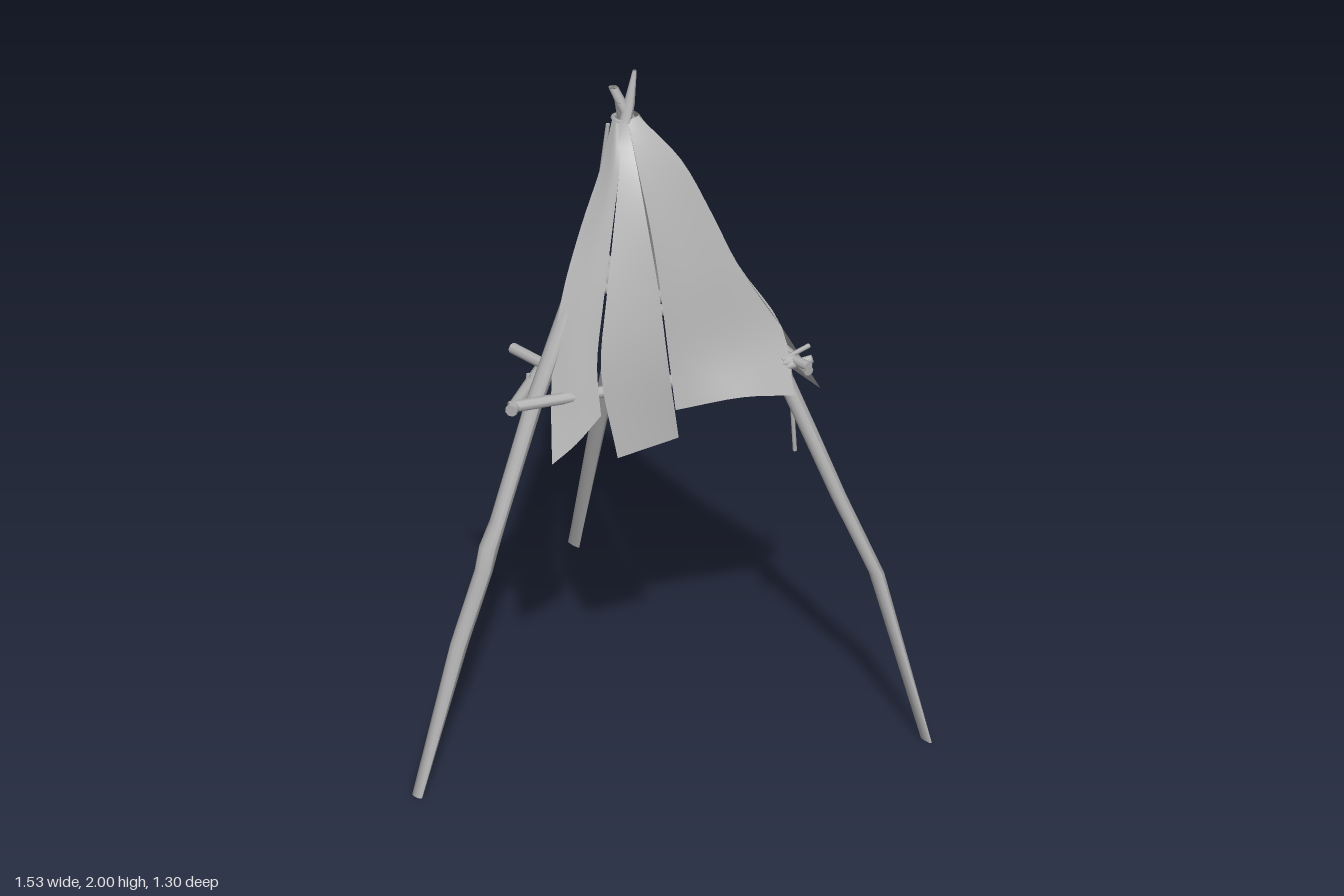
import * as THREE from 'three';

const grey = new THREE.MeshStandardMaterial({ color: 0xb0b0b0, side: THREE.DoubleSide });
grey.name = 'weathered grey';

const vec = (p) => new THREE.Vector3(...p);

// Grid surface through rows of points, with optional end caps
function surface(rows, caps) {
  const n = rows[0].length, pos = rows.flat(2), idx = [];
  for (let i = 0; i < rows.length - 1; i++) {
    for (let j = 0; j < n - 1; j++) {
      const a = i * n + j, b = a + 1, c = a + n, d = c + 1;
      idx.push(a, c, b, b, c, d);
    }
  }
  if (caps) {
    const last = (rows.length - 1) * n;
    for (let j = 1; j < n - 2; j++) idx.push(0, j, j + 1, last, last + j + 1, last + j);
  }
  const g = new THREE.BufferGeometry();
  g.setAttribute('position', new THREE.Float32BufferAttribute(pos, 3));
  g.setIndex(idx);
  g.computeVertexNormals();
  return g;
}

// Crooked pole made of level rings: stations are [x, y, z, x radius, z radius]
function poleGeometry(stations) {
  const rows = stations.map(([x, y, z, rx, rz = rx]) => Array.from({ length: 11 }, (_, j) => {
    const a = -(j % 10) / 10 * Math.PI * 2;
    return [x + Math.cos(a) * rx, y, z + Math.sin(a) * rz];
  }));
  return surface(rows, true);
}

// Straight stick between two points
function stick(a, b, r0, r1 = r0) {
  const A = vec(a), B = vec(b), dir = B.clone().sub(A);
  const m = new THREE.Mesh(new THREE.CylinderGeometry(r1, r0, dir.length(), 8), grey);
  m.position.copy(A).add(B).multiplyScalar(0.5);
  m.quaternion.setFromUnitVectors(new THREE.Vector3(0, 1, 0), dir.normalize());
  return m;
}

// Cloth strip draped across two or more hanging guide curves
function clothGeometry(guides) {
  const curves = guides.map((g) => new THREE.CatmullRomCurve3(g.map(vec)));
  const rows = [];
  for (let i = 0; i <= 20; i++) {
    const across = new THREE.CatmullRomCurve3(curves.map((c) => c.getPoint(i / 20)));
    rows.push(across.getPoints(8).map((p) => p.toArray()));
  }
  return surface(rows);
}

export function createModel() {
  const model = new THREE.Group();
  const add = (name, mesh) => { mesh.name = name; model.add(mesh); return mesh; };

  // Three crooked legs with flattened feet, crossing at the top
  const legs = {
    frontLeg: [[0.06, 0, 0.645, 0.02, 0.009], [0.058, 0.43, 0.49, 0.024, 0.028], [0.064, 0.64, 0.405, 0.026, 0.026],
      [0.064, 0.71, 0.385, 0.026, 0.032], [0.062, 0.78, 0.35, 0.024], [0.055, 1.1, 0.215, 0.024, 0.028],
      [0.045, 1.4, 0.06, 0.026], [0.02, 1.75, -0.12, 0.022], [0.003, 1.9, -0.18, 0.016], [0.003, 2, -0.2, 0.006]],
    rightLeg: [[-0.74, 0, -0.606, 0.024, 0.006], [-0.555, 0.5, -0.54, 0.026, 0.02], [-0.435, 0.78, -0.49, 0.027, 0.024],
      [-0.28, 1.15, -0.415, 0.026], [-0.135, 1.5, -0.305, 0.025], [-0.05, 1.75, -0.22, 0.022],
      [-0.015, 1.91, -0.16, 0.015]],
    leftLeg: [[0.74, 0, -0.645, 0.024, 0.006], [0.595, 0.5, -0.585, 0.026, 0.02], [0.5, 0.73, -0.525, 0.026, 0.022],
      [0.43, 0.93, -0.475, 0.027, 0.024], [0.33, 1.15, -0.43, 0.026], [0.17, 1.5, -0.31, 0.025],
      [0.045, 1.75, -0.21, 0.022], [-0.03, 1.95, -0.15, 0.014]],
  };
  for (const [name, s] of Object.entries(legs)) add(name, new THREE.Mesh(poleGeometry(s), grey));

  // Triangle of crossbars and the rungs resting on it
  add('rightCrossbar', stick([-0.39, 1.12, -0.47], [0.07, 1.12, 0.31], 0.021, 0.018));
  add('backCrossbar', stick([-0.44, 1.11, -0.41], [0.45, 1.145, -0.46], 0.018, 0.014));
  add('leftCrossbar', stick([0.05, 1.12, 0.3], [0.39, 1.14, -0.46], 0.017));
  add('rearRung', stick([-0.35, 1.155, -0.28], [0.37, 1.16, -0.42], 0.017, 0.013));
  add('frontRung', stick([-0.16, 1.15, 0.11], [0.14, 1.14, 0.08], 0.016));

  // Lashing pegs at the corner joints
  add('peg', stick([0.31, 1.14, -0.48], [0.45, 1.13, -0.46], 0.015));
  add('peg', stick([0.38, 1.16, -0.52], [0.38, 1.15, -0.42], 0.007));
  add('peg', stick([0.35, 1.11, -0.39], [0.43, 1.15, -0.49], 0.013));
  add('peg', stick([-0.42, 1.14, -0.43], [-0.29, 1.13, -0.425], 0.014));

  // Loose cord ends
  add('hangingCord', stick([-0.02, 0.935, 0.2], [-0.02, 1.15, 0.17], 0.006));
  add('hangingCord', stick([0.378, 0.84, -0.47], [0.378, 1.13, -0.45], 0.006));
  add('hangingCord', stick([-0.04, 1.6, -0.1], [-0.03, 1.84, -0.13], 0.006));

  // Cord wound round the top
  const ring = add('topLashing', new THREE.Mesh(new THREE.TorusGeometry(0.03, 0.007, 6, 14), grey));
  ring.position.set(-0.01, 1.85, -0.17);
  ring.rotation.x = Math.PI / 2 - 0.2;

  // Seams shared by neighbouring strips down to where the cloth is torn
  const backSeam = [[0.02, 1.87, -0.2], [0.04, 1.74, -0.27], [0.075, 1.58, -0.335], [0.12, 1.4, -0.4], [0.17, 1.19, -0.475]];
  const cornerSeam = [[0.03, 1.87, -0.19], [0.12, 1.74, -0.27], [0.195, 1.58, -0.32], [0.26, 1.43, -0.36], [0.345, 1.23, -0.45]];

  // Torn cloth draped over the legs
  const cloth = {
    backCloth: [
      [[-0.03, 1.87, -0.16], [-0.075, 1.74, -0.195], [-0.14, 1.58, -0.25], [-0.21, 1.4, -0.32], [-0.28, 1.18, -0.41], [-0.31, 1.0, -0.465]],
      [[-0.025, 1.87, -0.19], [-0.065, 1.74, -0.255], [-0.12, 1.58, -0.32], [-0.185, 1.4, -0.385], [-0.24, 1.18, -0.455], [-0.23, 1.05, -0.48]],
      [[0, 1.87, -0.2], [-0.01, 1.74, -0.265], [-0.025, 1.58, -0.33], [-0.035, 1.4, -0.395], [-0.03, 1.19, -0.47], [0, 1.04, -0.51]],
      [...backSeam, [0.18, 1.04, -0.53]]],
    backCornerCloth: [
      [...backSeam, [0.23, 1.03, -0.55]],
      [...cornerSeam, [0.37, 1.0, -0.57]]],
    sideCloth: [
      [...cornerSeam, [0.435, 1.06, -0.42]],
      [[0.025, 1.865, -0.175], [0.11, 1.74, -0.195], [0.19, 1.58, -0.215], [0.255, 1.42, -0.235], [0.32, 1.22, -0.255], [0.39, 1.09, -0.27]],
      [[0.02, 1.86, -0.16], [0.1, 1.74, -0.132], [0.17, 1.6, -0.115], [0.23, 1.42, -0.103], [0.275, 1.23, -0.095], [0.31, 1.08, -0.09]]],
    sideStrip: [
      [[0.02, 1.86, -0.16], [0.1, 1.74, -0.13], [0.17, 1.6, -0.107], [0.23, 1.42, -0.097], [0.275, 1.21, -0.093], [0.3, 0.98, -0.11]],
      [[0.02, 1.86, -0.14], [0.065, 1.74, -0.09], [0.105, 1.58, -0.035], [0.14, 1.4, 0.02], [0.17, 1.2, 0.065], [0.225, 0.94, 0.05]]],
    frontStrip: [
      [[0.02, 1.86, -0.14], [0.065, 1.74, -0.09], [0.105, 1.58, -0.03], [0.14, 1.4, 0.03], [0.165, 1.22, 0.075], [0.2, 1.08, 0.09]],
      [[0.015, 1.865, -0.125], [0.045, 1.74, -0.08], [0.07, 1.58, -0.01], [0.09, 1.4, 0.065], [0.12, 1.2, 0.125], [0.17, 1.0, 0.155]],
      [[-0.005, 1.87, -0.125], [0.005, 1.74, -0.075], [0.018, 1.58, 0.01], [0.04, 1.39, 0.1], [0.075, 1.18, 0.165], [0.135, 0.94, 0.215]]],
  };
  for (const [name, guides] of Object.entries(cloth)) {
    add(name, new THREE.Mesh(clothGeometry(guides), grey));
  }
  return model;
}
